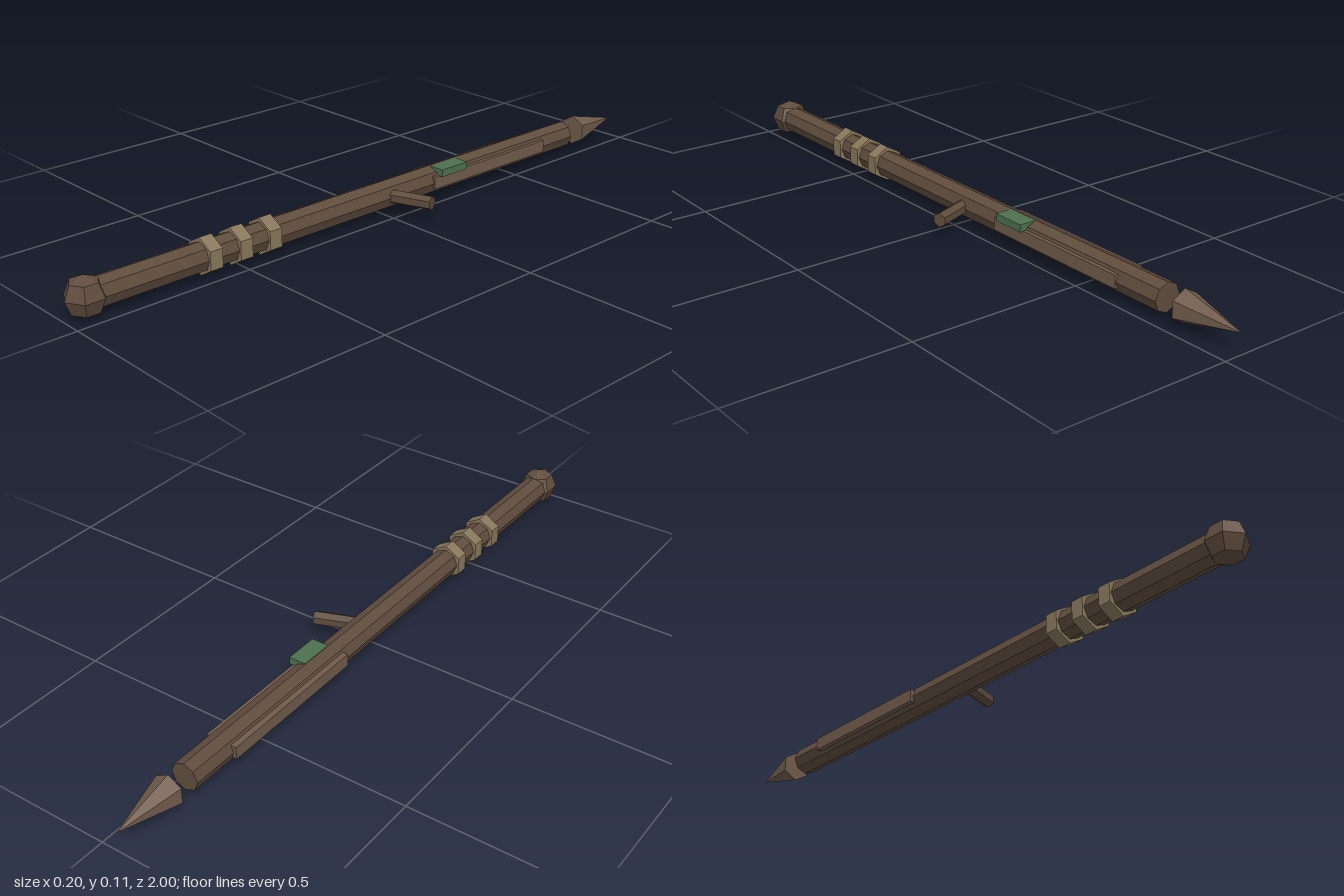
import * as THREE from 'three';

const AXIS_X = -0.05, AXIS_Y = 0.056;
const material = (color) => new THREE.MeshStandardMaterial({ color, flatShading: true });

export function createModel() {
  const model = new THREE.Group();
  const wood = material(0x5f4c3d);
  const paleWood = material(0x6f5b4b);
  const binding = material(0x87775b);
  const moss = material(0x4c704f);

  // Places a part relative to the shaft's centre line
  const add = (name, geometry, mat, x, y, z) => {
    const mesh = new THREE.Mesh(geometry, mat);
    mesh.name = name;
    mesh.position.set(AXIS_X + x, AXIS_Y + y, z);
    model.add(mesh);
  };
  const rod = (radius, length, sides) =>
    new THREE.CylinderGeometry(radius, radius, length, sides).rotateX(Math.PI / 2);

  // Long eight-sided shaft
  add('shaft', rod(0.04, 1.7, 8), wood, 0, 0, 0.084);

  // Rounded knob at the front end
  add('pommel', new THREE.SphereGeometry(0.055, 6, 4).rotateY(Math.PI / 2), wood, 0, 0, 0.945);

  // Pointed tip, set slightly apart from the shaft
  add('tip', new THREE.ConeGeometry(0.045, 0.18, 6).rotateX(-Math.PI / 2), paleWood, 0, 0, -0.91);

  // Grip wrappings
  for (const z of [0.408, 0.502, 0.596]) add('gripWrap', rod(0.052, 0.038, 6), binding, 0, 0, z);

  // Bark strips along both sides
  add('leftBarkStrip', new THREE.BoxGeometry(0.02, 0.036, 0.464), paleWood, 0.033, 0.002, -0.4);
  add('rightBarkStrip', new THREE.BoxGeometry(0.02, 0.036, 0.464), paleWood, -0.038, 0.002, -0.4);

  // Moss patch on the upper side
  add('mossPatch', new THREE.BoxGeometry(0.05, 0.021, 0.1), moss, 0.028, 0.029, -0.237);

  // Short branch stub angled toward the tip
  const tilt = 0.36, reach = 0.152;
  const branch = new THREE.CylinderGeometry(0.02, 0.02, reach, 6)
    .rotateY(Math.PI / 2).rotateZ(-Math.PI / 2).translate(reach / 2, 0, 0).rotateY(tilt);
  add('branchStub', branch, wood, 0, 0, -0.004);

  return model;
}
